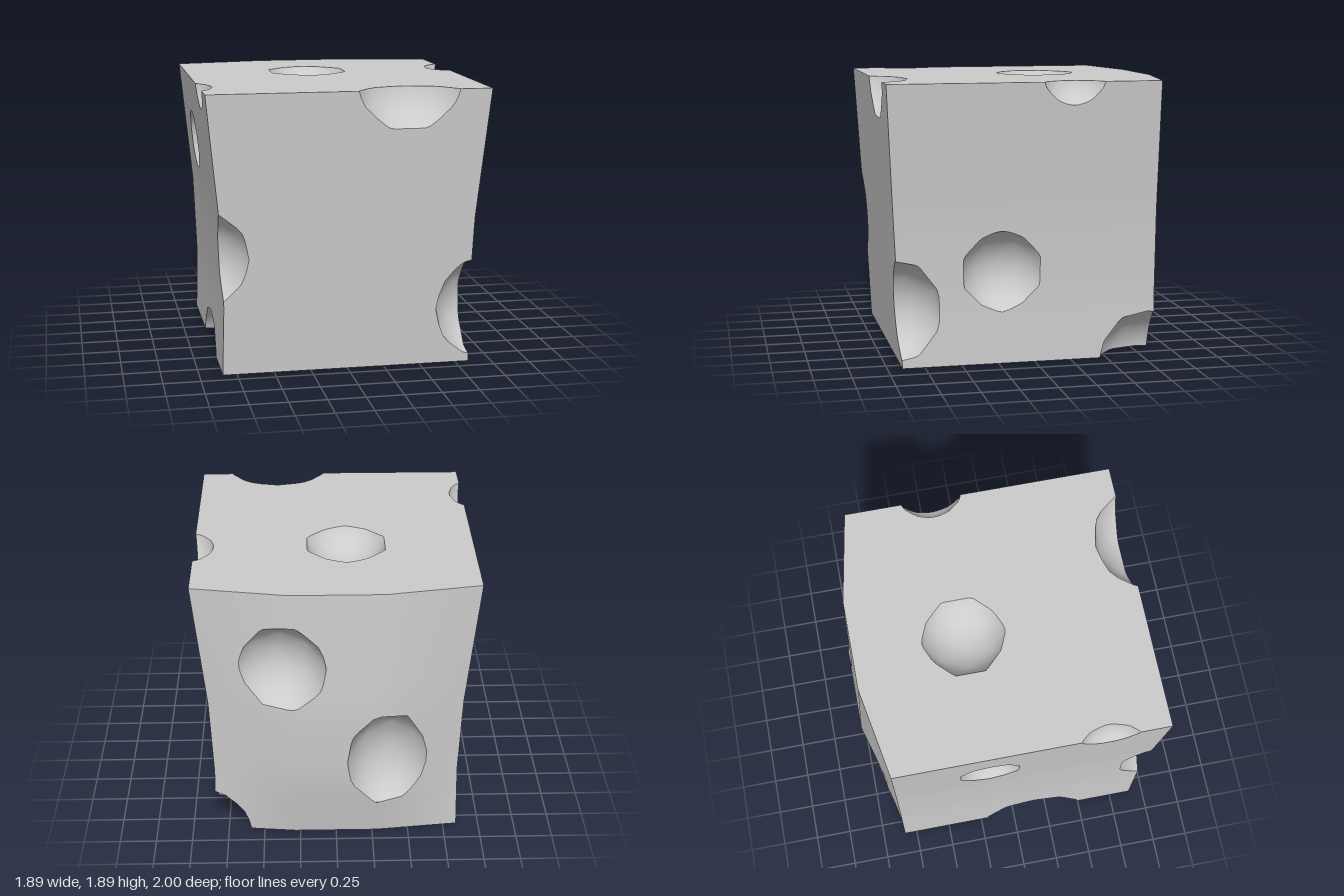
import * as THREE from 'three';

const H = 1.89;

// piecewise-linear profile through [y, value] points
function profile(points, t) {
  let i = 0;
  while (i < points.length - 2 && t > points[i + 1][0]) i++;
  const [a, va] = points[i], [b, vb] = points[i + 1];
  return va + (vb - va) * (t - a) / (b - a);
}
const halfWidth = y => profile([[0, 0.845], [0.47, 0.835], [1.02, 0.857], [H, 0.945]], y);
const bulge = y => profile([[0, 0.06], [0.47, 0.14], [1.02, 0.16], [H, 0.11]], y);
const frontZ = y => 0.9 + 0.1 * y / H;
const backZ = (x, y) => -0.84 - bulge(y) * Math.min(1, 1.5 * (1 - Math.abs(x) / halfWidth(y)));

// one function per side of the block, positive inside (same order as BoxGeometry groups)
const sides = [
  (x, y) => halfWidth(y) - x,
  (x, y) => halfWidth(y) + x,
  (x, y) => H - y,
  (x, y) => y,
  (x, y, z) => frontZ(y) - z,
  (x, y, z) => z - backZ(x, y),
];
const sideNames = ['leftSide', 'rightSide', 'top', 'bottom', 'front', 'back'];

// scooped holes: name, centre, radii
const holes = [
  ['topHole', [-0.08, 2.045, -0.21], 0.31],
  ['frontTopHole', [0.39, 1.969, 1.16], 0.384],
  ['leftTopHole', [1.033, 1.941, -0.245], 0.229],
  ['rightTopHole', [-1.111, 1.93, 0.595], 0.26],
  ['rightFrontHole', [-1.005, 0.79, 1.095], 0.367],
  ['leftFrontHole', [0.97, 0.385, 0.98], 0.367],
  ['leftSideHole', [0.99, 0.625, 0.225], 0.305],
  ['rightSideHole', [-1.0, 1.41, -0.19], 0.23],
  ['backCornerHole', [0.945, -0.04, -0.8], 0.365],
  ['rightBottomHole', [-0.985, -0.127, 0.15], 0.4],
  ['backUpperHole', [0.38, 1.36, -1.12], 0.34],
  ['backLowerHole', [-0.37, 0.62, -1.12], [0.32, 0.42, 0.34]],
].map(([name, centre, r]) => ({
  name, centre, radii: (Array.isArray(r) ? r : [r, r, r]).map(v => v * 1.04),
}));

// facets of a coarse unit ball, and their planes
const ball = new THREE.IcosahedronGeometry(1, 1).getAttribute('position');
const facets = [];
for (let i = 0; i < ball.count; i += 3) {
  const [a, b, c] = [0, 1, 2].map(k => new THREE.Vector3().fromBufferAttribute(ball, i + k));
  facets.push({ a, b, c, plane: new THREE.Plane().setFromCoplanarPoints(a, b, c) });
}

// positive outside the faceted hole
function outsideHole({ centre, radii }) {
  const q = new THREE.Vector3();
  return (x, y, z) => {
    q.set((x - centre[0]) / radii[0], (y - centre[1]) / radii[1], (z - centre[2]) / radii[2]);
    if (q.lengthSq() > 1) return q.length() - 0.9;
    let d = -Infinity;
    for (const f of facets) d = Math.max(d, f.plane.distanceToPoint(q));
    return d;
  };
}

// vertices are [px, py, pz, nx, ny, nz]; keep the part of each triangle where f > 0
const mix = (a, b, t) => a.map((v, i) => v + (b[i] - v) * t);
function crossing(inner, outer, f) {
  let lo = 0, hi = 1;
  for (let i = 0; i < 18; i++) {
    const m = (lo + hi) / 2;
    if (f(...mix(inner, outer, m)) > 0) lo = m; else hi = m;
  }
  return mix(inner, outer, lo);
}
function clip(triangles, f) {
  const out = [];
  for (const t of triangles) {
    const keep = t.map(v => f(v[0], v[1], v[2]) > 0);
    if (keep.every(Boolean)) { out.push(t); continue; }
    const poly = [];
    for (let i = 0; i < 3; i++) {
      const j = (i + 1) % 3;
      if (keep[i]) poly.push(t[i]);
      if (keep[i] !== keep[j]) poly.push(keep[i] ? crossing(t[i], t[j], f) : crossing(t[j], t[i], f));
    }
    for (let i = 2; i < poly.length; i++) out.push([poly[0], poly[i - 1], poly[i]]);
  }
  return out;
}

function toMesh(name, triangles, material) {
  const vertices = triangles.flat();
  const geometry = new THREE.BufferGeometry();
  geometry.setAttribute('position', new THREE.Float32BufferAttribute(vertices.flatMap(v => v.slice(0, 3)), 3));
  geometry.setAttribute('normal', new THREE.Float32BufferAttribute(vertices.flatMap(v => v.slice(3)), 3));
  const mesh = new THREE.Mesh(geometry, material);
  mesh.name = name;
  return mesh;
}

// softened outward normal of a side
function sideNormal(g, x, y, z) {
  const e = 0.2;
  return new THREE.Vector3(
    g(x - e, y, z) - g(x + e, y, z),
    g(x, y - e, z) - g(x, y + e, z),
    g(x, y, z - e) - g(x, y, z + e)).normalize().toArray();
}

export function createModel() {
  const group = new THREE.Group();
  group.name = 'holedBlock';
  const material = new THREE.MeshStandardMaterial({ color: 0xcccccc });

  // tapered block: a fine box reshaped by the profiles, with the holes cut from each side
  const N = 48, perSide = N * N * 6;
  const box = new THREE.BoxGeometry(2, 2, 2, N, N, N).toNonIndexed().getAttribute('position');
  const tests = holes.map(outsideHole);
  sides.forEach((g, s) => {
    let triangles = [];
    for (let i = s * perSide; i < (s + 1) * perSide; i += 3) {
      triangles.push([0, 1, 2].map(k => {
        const y = (box.getY(i + k) + 1) / 2 * H;
        const x = box.getX(i + k) * halfWidth(y);
        const z = THREE.MathUtils.lerp(backZ(x, y), frontZ(y), (box.getZ(i + k) + 1) / 2);
        return [x, y, z, ...sideNormal(g, x, y, z)];
      }));
    }
    for (const f of tests) triangles = clip(triangles, f);
    group.add(toMesh(sideNames[s], triangles, material));
  });

  // hole linings: ball facets turned inward, subdivided and trimmed to the block
  const S = 6;
  for (const { name, centre, radii } of holes) {
    let triangles = [];
    for (const { a, b, c } of facets) {
      const at = (i, j) => {
        const p = a.clone().multiplyScalar(S - i - j).addScaledVector(b, i).addScaledVector(c, j).divideScalar(S);
        const n = new THREE.Vector3(p.x / radii[0], p.y / radii[1], p.z / radii[2]).normalize().negate();
        return [...p.toArray().map((v, k) => centre[k] + v * radii[k]), ...n.toArray()];
      };
      for (let i = 0; i < S; i++) {
        for (let j = 0; j < S - i; j++) {
          triangles.push([at(i, j), at(i, j + 1), at(i + 1, j)]);
          if (i + j < S - 1) triangles.push([at(i + 1, j), at(i, j + 1), at(i + 1, j + 1)]);
        }
      }
    }
    for (const g of sides) triangles = clip(triangles, g);
    group.add(toMesh(name, triangles, material));
  }
  return group;
}
